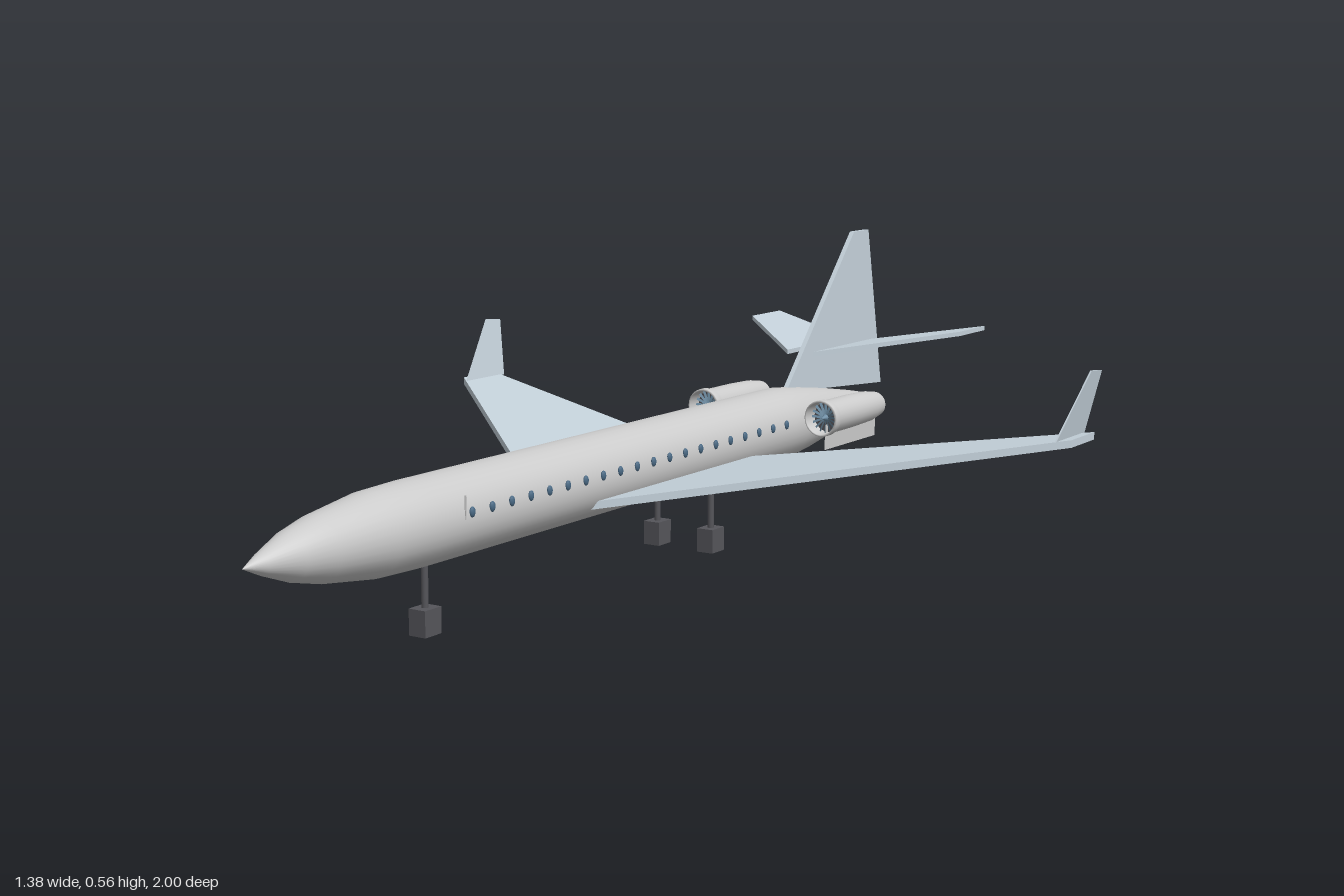
import * as THREE from 'three';

const mat = (color, side = THREE.FrontSide) => new THREE.MeshStandardMaterial({ color, side });
const grey = mat(0xcccccc);
const greyOpen = mat(0xcccccc, THREE.DoubleSide);
const panelMat = mat(0xc6d3dc);
const darkMat = mat(0x55555a);
const glassMat = mat(0x4a6a85);
const fanMat = mat(0x6f8fa6, THREE.DoubleSide);

function add(parent, name, geometry, material, x = 0, y = 0, z = 0) {
  const mesh = new THREE.Mesh(geometry, material);
  mesh.name = name;
  mesh.position.set(x, y, z);
  parent.add(mesh);
  return mesh;
}

// Thin four-cornered panel; side = -1 mirrors it across x
function panel(rootLead, rootTrail, tipLead, tipTrail, thickness, side = 1) {
  const [a, b, c, d] = [rootLead, rootTrail, tipLead, tipTrail].map(
    (p) => new THREE.Vector3(p[0] * side, p[1], p[2]));
  const t = new THREE.Vector3(thickness[0], thickness[1] * side, 0);
  const geo = new THREE.BoxGeometry(1, 1, 1);
  const pos = geo.attributes.position;
  for (let i = 0; i < pos.count; i++) {
    const u = pos.getX(i) + 0.5, v = pos.getY(i), w = pos.getZ(i) + 0.5;
    const root = b.clone().lerp(a, w);
    const tip = d.clone().lerp(c, w);
    const p = root.lerp(tip, u).addScaledVector(t, v);
    pos.setXYZ(i, p.x, p.y, p.z);
  }
  geo.computeVertexNormals();
  return geo;
}

// Surface of revolution along z from [z, radius] pairs
function turned(points, segments) {
  const profile = points.map(([z, r]) => new THREE.Vector2(r, z));
  return new THREE.LatheGeometry(profile, segments).rotateX(Math.PI / 2);
}

function engine(side) {
  const g = new THREE.Group();
  g.name = side > 0 ? 'leftEngine' : 'rightEngine';
  g.position.set(side * 0.135, 0.22, 0);
  add(g, 'nacelle', turned([[-0.71, 0.025], [-0.67, 0.031], [-0.6, 0.033],
    [-0.51, 0.033], [-0.5, 0.036], [-0.485, 0.036], [-0.483, 0.032], [-0.52, 0.03]], 24), greyOpen);
  add(g, 'exhaust', new THREE.CircleGeometry(0.026, 24).rotateY(Math.PI), darkMat, 0, 0, -0.7);
  add(g, 'fanBack', new THREE.CircleGeometry(0.031, 24), darkMat, 0, 0, -0.515);
  add(g, 'spinner', new THREE.ConeGeometry(0.008, 0.02, 12).rotateX(Math.PI / 2), fanMat, 0, 0, -0.498);
  // Fan blades
  for (let i = 0; i < 16; i++) {
    const blade = new THREE.PlaneGeometry(0.005, 0.025)
      .rotateY(0.5).translate(0, 0.018, 0).rotateZ((i * Math.PI) / 8);
    add(g, 'fanBlade', blade, fanMat, 0, 0, -0.505);
  }
  // Thin plate beneath the nacelle
  add(g, 'pylon', new THREE.PlaneGeometry(0.21, 0.05).rotateY(Math.PI / 2), greyOpen, 0, -0.04, -0.608);
  return g;
}

function gear(name, x, z) {
  const g = new THREE.Group();
  g.name = name;
  g.position.set(x, 0, z);
  add(g, 'wheel', new THREE.BoxGeometry(0.034, 0.045, 0.042), darkMat, 0, 0.0225, 0);
  const top = x ? 0.145 : 0.125;
  add(g, 'strut', new THREE.CylinderGeometry(0.006, 0.006, top - 0.04, 12), darkMat, 0, (top + 0.04) / 2, 0);
  return g;
}

export function createModel() {
  const model = new THREE.Group();
  model.name = 'jet';
  const axisY = 0.19, radius = 0.073;

  // Body with pointed nose and tail
  add(model, 'fuselage', turned([[-1, 0], [-0.85, 0.029], [-0.7, 0.054], [-0.62, 0.065],
    [-0.55, 0.072], [-0.5, radius], [0.62, radius], [0.72, 0.07], [0.84, 0.054],
    [0.9, 0.04], [0.96, 0.018], [1, 0]], 32), grey, 0, axisY, 0);

  // Tail fin
  add(model, 'tailFin', panel([0, 0.25, -0.575], [0, 0.22, -0.985],
    [0, 0.555, -0.853], [0, 0.555, -0.917], [-0.01, 0]), panelMat);

  for (const s of [1, -1]) {
    const label = s > 0 ? 'left' : 'right';
    add(model, label + 'Wing', panel([0.05, 0.152, 0.2], [0.05, 0.152, -0.335],
      [0.69, 0.236, -0.41], [0.69, 0.236, -0.515], [0, 0.014], s), panelMat);
    add(model, label + 'Winglet', panel([0.667, 0.238, -0.39], [0.667, 0.238, -0.52],
      [0.69, 0.36, -0.49], [0.69, 0.355, -0.538], [-0.003, 0], s), panelMat);
    add(model, label + 'Stabilizer', panel([0.03, 0.322, -0.64], [0.03, 0.322, -0.89],
      [0.248, 0.355, -0.865], [0.248, 0.355, -0.983], [0, 0.009], s), panelMat);
    model.add(engine(s));
    model.add(gear(label + 'MainGear', s * 0.06, -0.2));

    // Row of cabin windows and the thin door edge
    for (let i = 0; i < 20; i++) {
      const pane = new THREE.SphereGeometry(1, 10, 8).scale(0.004, 0.009, 0.007);
      add(model, label + 'Window', pane, glassMat, s * 0.072, 0.205, 0.545 - i * 0.053);
    }
    add(model, label + 'DoorEdge', new THREE.BoxGeometry(0.002, 0.04, 0.003), grey, s * 0.072, 0.215, 0.562);
  }
  model.add(gear('noseGear', 0, 0.58));
  return model;
}
